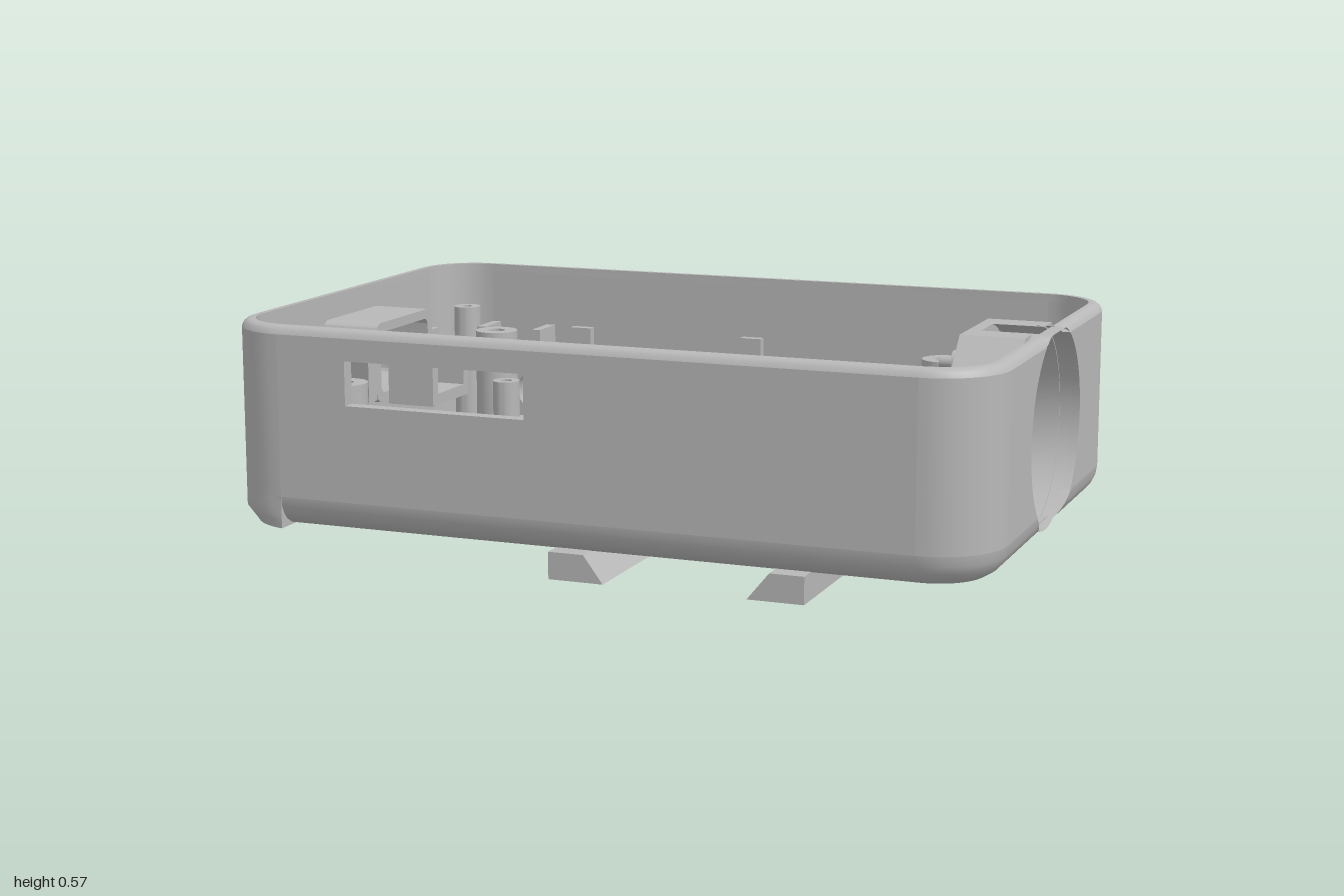
import * as THREE from 'three';
import { toCreasedNormals } from 'three/addons/utils/BufferGeometryUtils.js';
import { ConvexGeometry } from 'three/addons/geometries/ConvexGeometry.js';

const T = 0.035, R = 0.17;                    // wall thickness, corner radius
const CY = 0.325, CZ = 0.05, CR = 0.25;       // round recess in the +x end
const LOW = 0.14, HIGH = 0.545, TOP = 0.565;  // wall bands

export function createModel() {
  const model = new THREE.Group();
  const grey = new THREE.MeshStandardMaterial({ color: 0xb8b8b8, side: THREE.DoubleSide });
  grey.name = 'grey plastic';

  const add = (name, geo) => {
    const m = new THREE.Mesh(geo, grey);
    m.name = name;
    model.add(m);
  };
  const box = (name, x0, x1, y0, y1, z0, z1) =>
    add(name, new THREE.BoxGeometry(x1 - x0, y1 - y0, z1 - z0)
      .translate((x0 + x1) / 2, (y0 + y1) / 2, (z0 + z1) / 2));

  // Extrude a shape along an axis; for x and y the shape uses -z as its ground direction
  const slab = (name, shape, axis, from, to) => {
    const geo = new THREE.ExtrudeGeometry(shape, { depth: to - from, bevelEnabled: false, curveSegments: 16 });
    geo.translate(0, 0, from);
    if (axis === 'x') geo.rotateY(Math.PI / 2);
    if (axis === 'y') geo.rotateX(-Math.PI / 2);
    add(name, toCreasedNormals(geo, 0.6));
  };
  const poly = (pts) => new THREE.Shape(pts.map(([a, b]) => new THREE.Vector2(a, b)));
  const rect = (a0, a1, b0, b1, r = 0) => {
    if (!r) return poly([[a0, b0], [a1, b0], [a1, b1], [a0, b1]]);
    const s = new THREE.Shape(), q = Math.PI / 2;
    s.absarc(a1 - r, b1 - r, r, 0, q);
    s.absarc(a0 + r, b1 - r, r, q, 2 * q);
    s.absarc(a0 + r, b0 + r, r, 2 * q, 3 * q);
    s.absarc(a1 - r, b0 + r, r, 3 * q, 4 * q);
    return s;
  };
  const disc = (a, b, r) => new THREE.Shape().absarc(a, b, r, 0, Math.PI * 2);
  const cut = (shape, ...holes) => { shape.holes.push(...holes); return shape; };

  // Outline of the case; k = 1 where the bottom edge is rounded, side = straight +x end
  const path = [], corners = [];
  const corner = (cx, cz, a0, k) => {
    const start = path.length;
    for (let i = 0; i <= 10; i++) {
      const a = a0 + (i / 10) * Math.PI / 2, nx = Math.cos(a), nz = Math.sin(a);
      path.push({ x: cx + R * nx, z: cz + R * nz, nx, nz, k });
    }
    corners.push(path.slice(start));
  };
  const endWall = (z0, z1) => {
    for (let i = 0; i <= 24; i++) path.push({ x: 1, z: z0 + (z1 - z0) * i / 24, nx: 1, nz: 0, k: 1, side: true });
  };
  endWall(CZ, 0.5);
  corner(0.83, 0.5, 0, 1);
  path.push({ x: -0.79, z: 0.67, nx: 0, nz: 1, k: 1 });
  corner(-0.79, 0.5, Math.PI / 2, 0);
  corner(-0.79, -0.41, Math.PI, 0);
  path.push({ x: -0.79, z: -0.58, nx: 0, nz: -1, k: 1 });
  corner(0.83, -0.41, Math.PI * 1.5, 1);
  endWall(-0.41, CZ);

  // Place one row of the wall section; the +x end is trimmed round the recess
  const place = (p, [y, d, outer]) => {
    const h = Math.sqrt(Math.max(0, CR * CR - (p.z - CZ) ** 2));
    if (p.side && h > 0) y = y < CY ? Math.min(y, CY - h) : Math.max(y, Math.min(TOP, CY + h));
    if (outer && y < LOW) {
      d += p.k ? 0.08 - Math.sqrt(Math.max(0, 0.0064 - (LOW - y) ** 2))
        : Math.max(0, 0.095 - y) * Math.max(0, -p.nx);
    }
    return [p.x - p.nx * d, y, p.z - p.nz * d];
  };
  const sweep = (name, pts, rows) => {
    const pos = [];
    for (let i = 0; i + 1 < pts.length; i++) for (let j = 0; j + 1 < rows.length; j++) {
      const a = place(pts[i], rows[j]), b = place(pts[i + 1], rows[j]);
      const c = place(pts[i + 1], rows[j + 1]), d = place(pts[i], rows[j + 1]);
      pos.push(...a, ...d, ...c, ...a, ...c, ...b);
    }
    const geo = new THREE.BufferGeometry();
    geo.setAttribute('position', new THREE.Float32BufferAttribute(pos, 3));
    add(name, toCreasedNormals(geo, 0.6));
  };

  // Case: rounded skirt, corners and rim
  const skirt = [0, 0.006, 0.02, 0.035, 0.055, 0.08].map((h) => [0.06 + h, 0, true]);
  sweep('skirt', path, [...skirt, [LOW, T], [0.09, T]]);
  corners.forEach((c) => sweep('cornerWall', c, [[LOW, 0], [HIGH, 0], [HIGH, T], [LOW, T]]));
  sweep('rim', path, [[HIGH, 0], [0.556, 0.005], [0.562, 0.012], [TOP, 0.02], [TOP, T], [HIGH, T]]);

  // Flat walls with their openings
  slab('frontWall', cut(rect(-0.79, 0.83, LOW, HIGH), rect(-0.605, -0.13, 0.38, 0.49)), 'z', 0.67 - T, 0.67);
  slab('backWall', cut(rect(-0.79, 0.83, LOW, HIGH), rect(-0.5, 0, 0.15, 0.335), disc(-0.66, 0.205, 0.055)),
    'z', -0.58, -0.58 + T);
  const lights = [-0.03, 0.02, 0.07, 0.12].map((z) => disc(-z, 0.285, 0.012));
  slab('leftEndWall', cut(rect(-0.5, 0.41, LOW, HIGH), rect(-0.19, 0.1, 0.33, 0.46, 0.03), ...lights),
    'x', -0.96, -0.96 + T);
  const a0 = Math.asin((LOW - CY) / CR), a1 = Math.asin((HIGH - CY) / CR);
  const rear = poly([[0.41, LOW], [0.41, HIGH]]);
  rear.absarc(-CZ, CY, CR, a1, a0, true);
  slab('rightEndWall', rear, 'x', 1 - T, 1);
  const fore = poly([[-0.5, HIGH], [-0.5, LOW]]);
  fore.absarc(-CZ, CY, CR, Math.PI - a0, Math.PI - a1, true);
  slab('rightEndWall', fore, 'x', 1 - T, 1);

  // Floor with screw holes and vents
  const screws = [[-0.71, -0.4], [0.59, -0.4], [-0.71, 0.48], [0.59, 0.48]];
  const floorHoles = () => [
    ...screws.map(([x, z]) => disc(x, -z, 0.04)), disc(0.25, -0.49, 0.035),
    ...[-2, -1, 0, 1, 2].map((i) => rect(-0.85, -0.66, -0.056 - i * 0.056, -0.034 - i * 0.056)),
  ];
  const outline = path.map((p) => place(p, [0.06, 0, true])).map(([x, , z]) => [x, -z]);
  slab('floor', cut(poly(outline), ...floorHoles()), 'y', 0.06, 0.087);
  slab('floorTop', cut(rect(-0.925, 0.965, -0.635, 0.545, R - T), ...floorHoles()), 'y', 0.087, 0.09);

  // Posts
  const post = (name, x, z, r, bore, y) => slab(name, cut(disc(x, -z, r), disc(x, -z, bore)), 'y', 0.085, y);
  screws.forEach(([x, z]) => post('screwPost', x, z, 0.058, 0.023, 0.4));
  post('smallPost', -0.63, -0.29, 0.037, 0.016, 0.28);
  post('smallPost', 0.135, -0.19, 0.037, 0.016, 0.235);
  post('smallPost', -0.84, -0.48, 0.037, 0.014, 0.45);
  slab('nutHolder', cut(disc(0.25, -0.49, 0.09), poly([0, 1, 2, 3, 4, 5].map((i) =>
    [0.25 + 0.065 * Math.cos(i * Math.PI / 3), -0.49 + 0.065 * Math.sin(i * Math.PI / 3)]))), 'y', 0.085, 0.17);

  // Floor fittings
  box('switchBlock', 0.335, 0.385, 0.085, 0.275, 0.39, 0.52);
  box('switchBlock', 0.385, 0.435, 0.085, 0.23, 0.4, 0.51);
  [0.24, 0.385].forEach((x) => box('supportBlock', x, x + 0.052, 0.085, 0.14, 0.04, 0.25));
  box('rib', 0.1, 0.118, 0.085, 0.125, -0.32, 0.4);
  box('rib', -0.612, -0.595, 0.085, 0.125, 0.2, 0.4);
  box('rib', -0.612, -0.595, 0.085, 0.125, -0.32, -0.2);
  [-0.213, 0.313].forEach((z) => slab('floorPad', rect(-0.455, -0.04, -z - 0.053, -z + 0.053, 0.03), 'y', 0.088, 0.094));

  // Connector housing behind the left end window
  slab('connectorHousing', cut(rect(-0.2, 0.12, 0.29, 0.5, 0.03), rect(-0.175, 0.095, 0.315, 0.475, 0.02)), 'x', -0.93, -0.77);
  slab('connectorCradle', cut(rect(-0.135, 0.075, 0.28, 0.42), rect(-0.105, 0.045, 0.31, 0.39)), 'x', -0.77, -0.64);
  [[-0.12, -1], [0.2, 1]].forEach(([z, s]) => slab('connectorFin',
    poly([[-0.9, -z], [-0.77, -z], [-0.77, -z - s * 0.045]]), 'y', 0.3, 0.44));
  slab('connectorFrame', cut(rect(-0.93, -0.605, -0.31, 0.23, 0.03), rect(-0.91, -0.64, -0.28, 0.2, 0.03)), 'y', 0.085, 0.14);

  // Bracket beside the round hole in the back wall
  box('jackBracket', -0.79, -0.765, 0.085, 0.4, -0.55, -0.44);
  box('jackBracket', -0.62, -0.595, 0.085, 0.4, -0.55, -0.44);
  box('jackShelf', -0.79, -0.595, 0.085, 0.13, -0.55, -0.44);

  // Octagonal cup around the round recess
  const ap = 0.263, e = 0.109, t = 0.24;
  const octagon = [[ap + e - t, t], [ap, e], [ap, -e], [e, -ap], [-e, -ap], [-ap, -e], [-ap, e], [t - ap - e, t]];
  const cup = poly([[0.055, t], ...octagon, [-0.055, t]].map(([a, b]) => [a - CZ, b + CY]));
  const c0 = Math.acos(-0.055 / 0.246);
  cup.absarc(-CZ, CY, 0.246, c0, 3 * Math.PI - c0);
  slab('recessCup', cup, 'x', 0.82, 0.95);
  slab('recessBack', cut(poly(octagon.map(([a, b]) => [a - CZ, b + CY])), disc(-CZ, CY, 0.09)), 'x', 0.79, 0.822);
  const gap = 0.26;
  add('recessLiner', new THREE.CylinderGeometry(CR, 0.246, 0.16, 48, 1, true, gap, 2 * Math.PI - 2 * gap)
    .rotateY(-Math.PI / 2).rotateZ(-Math.PI / 2).translate(0.9, CY, CZ));

  // Pegs on the inner face of the cup
  for (const dy of [-0.115, 0.115]) for (const dz of [-0.185, 0.185]) {
    const peg = (r, x0, x1) => add('peg', new THREE.CylinderGeometry(r, r, x1 - x0, 20)
      .rotateZ(Math.PI / 2).translate((x0 + x1) / 2, CY + dy, CZ + dz));
    peg(0.032, 0.69, 0.8);
    peg(0.017, 0.655, 0.69);
  }

  // Hollow pod on the back, open to the inside
  const podOutline = (r) => {
    const s = poly([[-0.455 - r, 0.57]]);
    s.absarc(-0.455, 0.59, r, Math.PI, Math.PI / 2, true);
    s.absarc(-0.045, 0.59, r, Math.PI / 2, 0, true);
    s.lineTo(-0.045 + r, 0.57);
    return s;
  };
  const podWall = podOutline(0.085);
  podWall.lineTo(0.015, 0.57);
  podWall.absarc(-0.045, 0.59, 0.06, 0, Math.PI / 2);
  podWall.absarc(-0.455, 0.59, 0.06, Math.PI / 2, Math.PI);
  podWall.lineTo(-0.515, 0.57);
  slab('podWall', podWall, 'y', 0.14, 0.345);
  slab('podBottom', podOutline(0.085), 'y', 0.12, 0.14);
  slab('podTop', podOutline(0.085), 'y', 0.345, 0.357);
  slab('podTop', podOutline(0.079), 'y', 0.357, 0.365);
  [-0.535, -0.025].forEach((x) => box('podClip', x, x + 0.06, 0.12, 0.4, -0.55, -0.52));
  box('podSill', -0.535, 0.035, 0.13, 0.16, -0.55, -0.525);

  // Ledge on the left end
  const ledge = [];
  [[-0.28, -0.22], [0.36, 0.3]].forEach(([far, near]) => {
    [[-0.95, 0.265, far], [-0.955, 0.09, far], [-0.925, 0.06, far], [-1, 0.24, near], [-1, 0.13, near]]
      .forEach((p) => ledge.push(new THREE.Vector3(...p)));
  });
  add('endLedge', new ConvexGeometry(ledge));

  // Dovetail bracket underneath, open to the front
  slab('bracketRail', poly([[-0.07, 0], [0.07, 0], [0.02, 0.067], [-0.07, 0.067]]), 'z', -0.05, 0.67);
  slab('bracketRail', poly([[0.43, 0], [0.57, 0], [0.57, 0.067], [0.485, 0.067]]), 'z', -0.05, 0.67);
  const stop = poly([[-0.07, 0.04], [0.57, 0.04]]);
  stop.absarc(0.47, 0.05, 0.1, 0, Math.PI / 2);
  stop.absarc(0.03, 0.05, 0.1, Math.PI / 2, Math.PI);
  slab('bracketStop', stop, 'y', 0, 0.067);

  return model;
}
